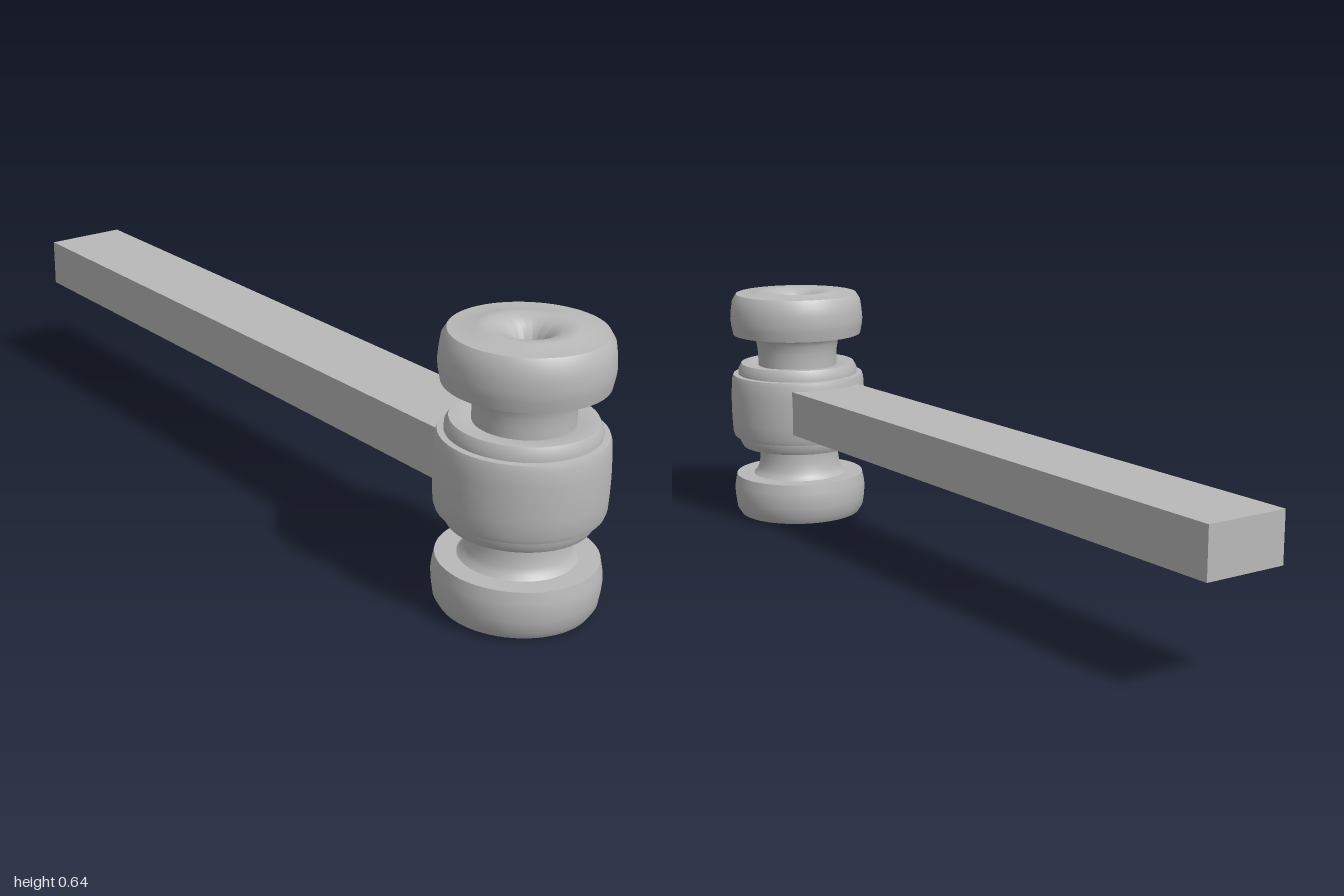
import * as THREE from 'three';
import { toCreasedNormals } from 'three/addons/utils/BufferGeometryUtils.js';

const MID = 0.32; // mirror height of the head
const HEAD_X = 0.812;

// Upper half profiles: [radius, height above MID], from the outside in
const BAND = [[0.188, 0], [0.187, 0.04], [0.185, 0.075], [0.181, 0.087], [0.167, 0.088], [0.166, 0.103], [0.158, 0.118], [0.135, 0.118], [0.11, 0.112]];
const NECK = [[0.11, 0.135], [0.111, 0.155], [0.115, 0.178], [0.121, 0.191], [0.13, 0.2]];
const CAP = [[0.178, 0.2], [0.183, 0.225], [0.185, 0.243], [0.183, 0.268], [0.179, 0.295], [0.168, 0.313],
  [0.12, 0.314], [0.107, 0.319], [0.09, 0.319], [0.07, 0.315], [0.05, 0.304], [0.036, 0.285], [0.028, 0.255], [0.025, 0.2]];

export function createModel() {
  const group = new THREE.Group();
  const wood = new THREE.MeshStandardMaterial({ color: 0xb9b9b9 });
  wood.name = 'grey';

  // Turned head: mirrored profile closed by a narrow bore through the axis
  const upper = [...BAND, ...NECK, ...CAP];
  const lower = upper.slice(1).reverse().map(([r, h]) => [r, -h]);
  const loop = [...lower, ...upper];
  loop.push(loop[0]);
  const profile = loop.map(([r, h]) => new THREE.Vector2(r, MID + h));
  const head = new THREE.Mesh(toCreasedNormals(new THREE.LatheGeometry(profile, 64), 0.65), wood);
  head.name = 'head';
  head.position.x = HEAD_X;
  group.add(head);

  // Square-cut handle, ending just inside the head
  const start = -1, end = 0.7;
  const handle = new THREE.Mesh(new THREE.BoxGeometry(end - start, 0.12, 0.21), wood);
  handle.name = 'handle';
  handle.position.set((start + end) / 2, 0.325, 0);
  group.add(handle);

  return group;
}
